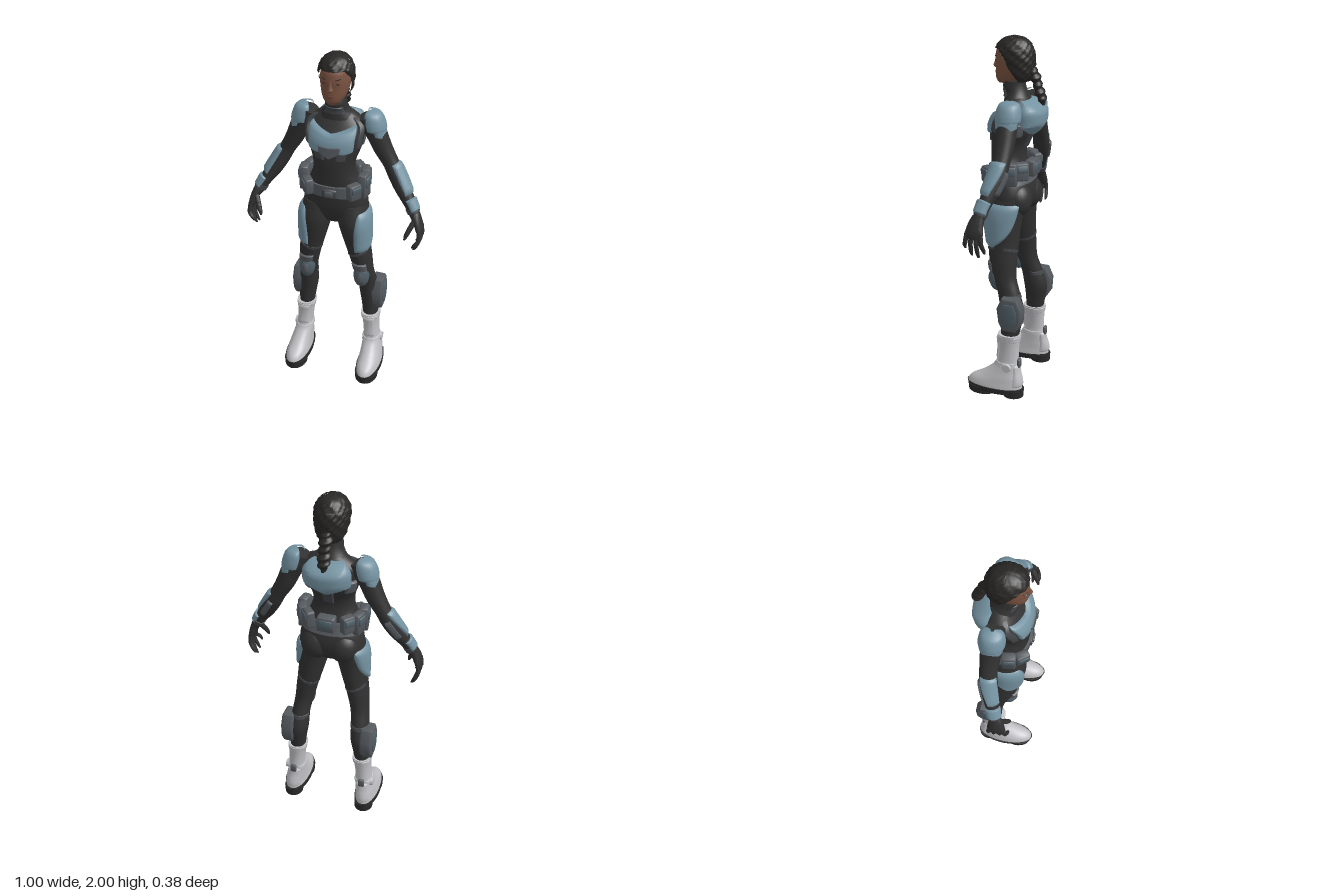
import * as THREE from 'three';
import { toCreasedNormals } from 'three/addons/utils/BufferGeometryUtils.js';
import { RoundedBoxGeometry } from 'three/addons/geometries/RoundedBoxGeometry.js';

const colours = {
  suit: 0x313131, armour: 0x7593a2, grey: 0x555a5f, slate: 0x4f5f68, boot: 0xc0c0c4,
  rubber: 0x2a2a2b, skin: 0x7b5342, lips: 0x633c33, hair: 0x282625, panel: 0x414448,
};

// Body surface from sections [y, x, z, sideRadius, frontRadius], listed downward.
// Angle 0 is the model's left, 90 the front. Upright surfaces have level rings.
function surface(secs, { n = 2, upright = true } = {}) {
  const last = secs.length - 1;
  const slope = (k, c) => {
    const a = secs[Math.max(k - 1, 0)], b = secs[Math.min(k + 1, last)];
    return (b[c] - a[c]) / (b[0] - a[0]);
  };
  const at = (y) => {
    let k = 0;
    while (k < last - 1 && y < secs[k + 1][0]) k++;
    const p = secs[k], q = secs[k + 1], h = q[0] - p[0];
    const t = Math.min(1, Math.max(0, (y - p[0]) / h)), t2 = t * t, t3 = t2 * t;
    return [1, 2, 3, 4].map((c) => (2 * t3 - 3 * t2 + 1) * p[c] + (t3 - 2 * t2 + t) * h * slope(k, c)
      + (3 * t2 - 2 * t3) * q[c] + (t3 - t2) * h * slope(k + 1, c));
  };
  const power = (v) => Math.sign(v) * Math.abs(v) ** (2 / n);
  return (y, deg, off = 0, scale = 1) => {
    const [x, z, ra, rb] = at(y), th = deg * Math.PI / 180;
    const down = new THREE.Vector3(0, -1, 0);
    if (!upright) {
      const a = at(y + 0.01), b = at(y - 0.01);
      down.set(b[0] - a[0], -0.02, b[1] - a[1]).normalize();
    }
    const front = new THREE.Vector3(0, 0, 1).addScaledVector(down, -down.z).normalize();
    const side = front.clone().cross(down);
    return new THREE.Vector3(x, y, z)
      .addScaledVector(side, scale * (Math.max(ra, 0.001) + off) * power(Math.cos(th)))
      .addScaledVector(front, scale * (Math.max(rb, 0.001) + off) * power(Math.sin(th)));
  };
}

function grid(rows, cols, point) {
  const pos = [], idx = [], w = cols + 1;
  for (let i = 0; i <= rows; i++) for (let j = 0; j <= cols; j++) pos.push(...point(i, j).toArray());
  for (let i = 0; i < rows; i++) for (let j = 0; j < cols; j++) {
    const a = i * w + j;
    idx.push(a, a + 1, a + w + 1, a, a + w + 1, a + w);
  }
  const g = new THREE.BufferGeometry();
  g.setAttribute('position', new THREE.Float32BufferAttribute(pos, 3));
  g.setIndex(idx);
  return g;
}

// Closed body between two heights, with end caps
function loft(s, top, bottom, rows = 36, cols = 32, bump = () => 0) {
  return grid(rows + 2, cols, (i, j) => {
    const t = Math.min(1, Math.max(0, (i - 1) / rows)), y = top + (bottom - top) * t, deg = 360 * j / cols;
    return s(y, deg, bump(y, deg), i === 0 || i === rows + 2 ? 0 : 1);
  });
}

// Raised plate lying on a surface; map(s, t) gives [height, angle]
function plate(s, map, off, bevel = 0.1, bump = () => 0, n = 18) {
  const ease = (i) => (1 - Math.cos(Math.PI * i / n)) / 2;
  return grid(n, n, (i, j) => {
    const u = ease(j), t = ease(i), [y, deg] = map(u, t);
    const d = Math.min(u, 1 - u, t, 1 - t) / bevel;
    return s(y, deg, -0.006 + (off + 0.006) * Math.sqrt(Math.min(1, d)) + (d > 0 ? bump(y, deg) : 0));
  });
}
const rect = (y0, y1, a0, a1) => (u, t) => [y0 + (y1 - y0) * t, a0 + (a1 - a0) * u];

export function createModel() {
  const root = new THREE.Group();
  root.name = 'armouredFigure';
  const mats = {};
  for (const [name, color] of Object.entries(colours)) {
    mats[name] = new THREE.MeshStandardMaterial({ color });
    mats[name].name = name;
  }
  const add = (name, geo, mat, both = false, crease = 0.7) => {
    const g = geo.index ? geo.toNonIndexed() : geo;
    g.deleteAttribute('uv');
    const put = (label, geom) => {
      geom.computeVertexNormals();
      const m = new THREE.Mesh(toCreasedNormals(geom, crease), mats[mat]);
      m.name = label;
      root.add(m);
    };
    if (!both) return put(name, g);
    const r = g.clone().scale(-1, 1, 1), p = r.attributes.position, v = new THREE.Vector3(), w = new THREE.Vector3();
    for (let i = 0; i < p.count; i += 3) {
      v.fromBufferAttribute(p, i + 1);
      w.fromBufferAttribute(p, i + 2);
      p.setXYZ(i + 1, w.x, w.y, w.z);
      p.setXYZ(i + 2, v.x, v.y, v.z);
    }
    put(name + 'Left', g);
    put(name + 'Right', r);
  };
  const ball = (x, y, z, a, b, c) => new THREE.SphereGeometry(1, 24, 16).scale(a, b, c).translate(x, y, z);
  const box = (w, h, d, r = 0.012) => new RoundedBoxGeometry(w, h, d, 2, r);

  // Torso and collar
  const torso = surface([[1.69, 0, -0.03, 0.06, 0.05], [1.66, 0, -0.035, 0.11, 0.065], [1.62, 0, -0.03, 0.15, 0.088],
    [1.56, 0, -0.01, 0.15, 0.108], [1.5, 0, 0, 0.142, 0.108], [1.42, 0, 0.02, 0.116, 0.093], [1.36, 0, 0.022, 0.115, 0.09],
    [1.28, 0, 0.01, 0.145, 0.1], [1.2, 0, -0.005, 0.172, 0.113], [1.14, 0, -0.01, 0.18, 0.112],
    [1.08, 0, -0.01, 0.16, 0.095], [1.04, 0, -0.005, 0.09, 0.065]], { n: 2.2 });
  add('torso', loft(torso, 1.69, 1.04, 60, 40), 'suit');
  add('hipCurve', ball(0.078, 1.13, -0.06, 0.085, 0.095, 0.076), 'suit', true);
  const neck = surface([[1.78, 0, -0.015, 0.05, 0.052], [1.74, 0, -0.008, 0.056, 0.062], [1.7, 0, -0.02, 0.066, 0.062], [1.65, 0, -0.03, 0.1, 0.075]]);
  add('collar', loft(neck, 1.765, 1.65, 20), 'suit');
  add('collarPanel', plate(neck, (u, t) => [1.725 - 0.045 * t, 35 + 110 * u], 0.006), 'panel');

  // Chest and back armour
  const dip = (u) => 1 - Math.abs(2 * u - 1);
  add('chestPlate', plate(torso, (u, t) => {
    const top = 1.635 - 0.045 * dip(u), low = 1.505 - 0.02 * Math.sin(Math.PI * 2 * Math.abs(u - 0.5));
    return [top + (low - top) * t, 38 + 104 * u];
  }, 0.021, 0.08), 'armour');
  add('sternumPanel', plate(torso, (u, t) => [1.535 - (0.03 + 0.045 * dip(u)) * t, 68 + 44 * u], 0.026), 'grey');
  add('ribPanel', plate(torso, rect(1.495, 1.445, 52, 78), 0.008), 'panel', true);
  add('shoulderStrap', plate(torso, rect(1.66, 1.5, 18, 36), 0.016), 'panel', true);
  add('backPlate', plate(torso, (u, t) => [1.672 - (0.13 + 0.07 * dip(u)) * t, 218 + 104 * u], 0.062, 0.32), 'armour');
  add('spinePanel', plate(torso, rect(1.54, 1.4, 258, 282), 0.014), 'panel');
  add('backSidePanel', plate(torso, rect(1.56, 1.48, -52, -22), 0.016), 'grey', true);

  // Belt, buckle and pouches
  add('belt', loft((y, d, o, s) => torso(y, d, 0.012, s), 1.29, 1.225, 4, 48), 'grey');
  add('buckle', box(0.085, 0.055, 0.025).translate(0, 1.25, 0.117), 'panel');
  add('buckleFace', box(0.045, 0.035, 0.012, 0.004).translate(0, 1.25, 0.13), 'grey');
  const pouches = [[42, 1.27, 0.09], [8, 1.285, 0.14], [-24, 1.29, 0.125], [-52, 1.3, 0.1]];
  pouches.forEach(([deg, y, h], i) => {
    const p = torso(1.27, deg, 0.02), turn = Math.atan2(p.x, p.z);
    add('pouch' + (i + 1), box(0.075, h, 0.05).rotateY(turn).translate(p.x, y, p.z), 'grey', true);
    add('pouchFlap' + (i + 1), box(0.06, h * 0.4, 0.016, 0.006).translate(0, h * 0.18, 0.024).rotateY(turn).translate(p.x, y, p.z), 'slate', true);
  });
  add('rearPouch', box(0.1, 0.09, 0.06).translate(0, 1.3, -0.113), 'grey');
  add('rearPouchFlap', box(0.075, 0.05, 0.016, 0.006).translate(0, 1.305, -0.14), 'slate');

  // Head and face
  const head = surface([[1.98, 0, -0.01, 0.03, 0.035], [1.94, 0, -0.008, 0.068, 0.088], [1.885, 0, -0.003, 0.077, 0.098],
    [1.84, 0, 0, 0.075, 0.093], [1.8, 0, 0.015, 0.065, 0.079], [1.77, 0, 0.035, 0.048, 0.056], [1.75, 0, 0.05, 0.024, 0.03]], { n: 2.15 });
  add('head', loft(head, 1.98, 1.75), 'skin');
  const nose = surface([[1.89, 0, 0.088, 0.008, 0.007], [1.855, 0, 0.092, 0.01, 0.013], [1.836, 0, 0.092, 0.016, 0.019], [1.826, 0, 0.088, 0.013, 0.01]]);
  add('nose', loft(nose, 1.89, 1.826, 12, 14), 'skin');
  add('lips', plate(head, (u, t) => [1.809 - 0.016 * t, 73 + 34 * u], 0.004, 0.4), 'lips');
  add('eye', plate(head, rect(1.876, 1.866, 54, 71), 0.002, 0.3), 'hair', true);
  add('eyebrow', plate(head, (u, t) => [1.9 - 0.006 * t - 0.006 * u, 48 + 26 * u], 0.003, 0.3), 'hair', true);

  // Braided hair and ponytail
  const wave = (y, d) => 0.0035 * Math.sin(d * 0.21 + 40 * y) * Math.sin(150 * y + d * 0.05);
  const hair = surface([[2, 0, -0.01, 0.01, 0.012], [1.986, 0, -0.01, 0.05, 0.06], [1.95, 0, -0.008, 0.082, 0.095], [1.9, 0, -0.01, 0.092, 0.108],
    [1.85, 0, -0.014, 0.089, 0.105], [1.8, 0, -0.022, 0.077, 0.09], [1.76, 0, -0.03, 0.056, 0.062]]);
  add('hairTop', loft(hair, 2, 1.934, 18, 48, wave), 'hair', false, 0.5);
  add('hairSides', plate(hair, (u, t) => {
    const open = 42 + 30 * Math.min(1, t * 3) + 35 * t * t;
    return [1.945 - 0.18 * t, 90 + open + (360 - 2 * open) * u];
  }, 0.002, 0.05, wave, 40), 'hair', false, 0.5);
  const tail = surface([[1.84, 0, -0.105, 0.02, 0.02], [1.8, 0, -0.12, 0.034, 0.03], [1.75, 0, -0.138, 0.028, 0.024],
    [1.7, 0, -0.155, 0.033, 0.027], [1.67, 0, -0.165, 0.025, 0.02], [1.645, 0, -0.168, 0.008, 0.008]]);
  add('ponytail', loft(tail, 1.84, 1.645, 40, 20, (y, d) => 0.004 * Math.sin(170 * y + d * Math.PI / 180)), 'hair', false, 0.5);

  // Arms with layered armour
  const arm = surface([[1.66, 0.15, -0.04, 0.045, 0.05], [1.62, 0.18, -0.045, 0.06, 0.058], [1.56, 0.21, -0.048, 0.055, 0.056],
    [1.48, 0.245, -0.052, 0.05, 0.052], [1.4, 0.29, -0.052, 0.043, 0.046], [1.34, 0.323, -0.045, 0.045, 0.048],
    [1.27, 0.365, -0.028, 0.043, 0.044], [1.19, 0.418, -0.004, 0.033, 0.034], [1.13, 0.452, 0.01, 0.029, 0.032]], { upright: false });
  add('arm', loft(arm, 1.66, 1.13, 44, 28), 'suit', true);
  add('forearmPlate', plate(arm, (u, t) => [1.395 - 0.165 * t, -55 + 35 * t + (125 - 30 * t) * u], 0.012), 'armour', true);
  add('forearmRearPanel', plate(arm, rect(1.36, 1.25, -100, -58), 0.009), 'grey', true);
  add('wristCuff', plate(arm, rect(1.215, 1.155, -75, 95), 0.011), 'armour', true);
  add('gloveBand', loft((y, d, o, s) => arm(y, d, 0.005, s), 1.175, 1.15, 4, 24), 'panel', true);
  const shoulder = surface([[1.695, 0.172, -0.05, 0.012, 0.015], [1.68, 0.178, -0.05, 0.043, 0.045], [1.64, 0.187, -0.05, 0.058, 0.06],
    [1.59, 0.2, -0.05, 0.056, 0.062], [1.54, 0.215, -0.05, 0.048, 0.056]]);
  add('shoulderPad', plate(shoulder, rect(1.695, 1.585, -130, 130), 0.007, 0.08), 'armour', true);
  add('shoulderLowerPad', plate(shoulder, (u, t) => [1.6 - (0.035 + 0.03 * dip(u)) * t, -85 + 170 * u], 0.004), 'armour', true);

  // Gloved hands
  const limb = (secs) => surface(secs, { upright: false });
  add('palm', loft(limb([[1.15, 0.443, 0.008, 0.03, 0.032], [1.11, 0.465, 0.018, 0.024, 0.042], [1.065, 0.481, 0.022, 0.02, 0.05], [1.035, 0.487, 0.022, 0.013, 0.045]]), 1.15, 1.035, 16, 24), 'suit', true);
  [[0.06, 0.082, 0.97], [0.035, 0.045, 0.935], [0.01, 0.008, 0.925], [-0.013, -0.025, 0.95]].forEach(([z0, z1, tip], i) => {
    const f = limb([[1.07, 0.483, z0, 0.012, 0.013], [1.01, 0.487, (z0 + z1) / 2, 0.0115, 0.012],
      [tip + 0.02, 0.468, z1, 0.0095, 0.01], [tip, 0.456, z1, 0.005, 0.005]]);
    add('finger' + (i + 1), loft(f, 1.07, tip, 12, 12), 'suit', true);
  });
  add('thumb', loft(limb([[1.12, 0.455, 0.035, 0.014, 0.016], [1.07, 0.432, 0.065, 0.014, 0.015], [1.035, 0.418, 0.08, 0.011, 0.011], [1.015, 0.412, 0.085, 0.005, 0.005]]), 1.12, 1.015, 12, 12), 'suit', true);

  // Legs, thigh guards, knee pads and calf pods
  const leg = surface([[1.16, 0.092, -0.01, 0.085, 0.105], [1.06, 0.107, 0.008, 0.09, 0.106], [1, 0.115, 0.01, 0.084, 0.1],
    [0.9, 0.13, 0.004, 0.071, 0.088], [0.8, 0.15, -0.002, 0.062, 0.079], [0.7, 0.166, -0.015, 0.054, 0.068], [0.62, 0.178, -0.045, 0.051, 0.063],
    [0.52, 0.187, -0.068, 0.056, 0.068], [0.44, 0.194, -0.067, 0.05, 0.06], [0.34, 0.2, -0.058, 0.042, 0.048]]);
  add('leg', loft(leg, 1.16, 0.34, 60, 32), 'suit', true);
  add('thighGuard', plate(leg, (u, t) => {
    const a = -62 + 95 * t ** 3, b = 48 + 42 * Math.sqrt(t);
    return [1.125 - 0.255 * t, a + (b - a) * u];
  }, 0.014), 'armour', true);
  add('thighStrap', plate(leg, (u, t) => [0.86 - 0.018 * t + 0.025 * Math.cos(u * Math.PI * 2), 360 * u], 0.003), 'panel', true);
  add('kneePad', ball(0.163, 0.69, 0.03, 0.046, 0.078, 0.044), 'slate', true);
  add('kneeUpperPlate', plate(leg, rect(0.785, 0.735, 45, 130), 0.012), 'grey', true);
  add('kneeCap', ball(0.163, 0.685, 0.05, 0.03, 0.05, 0.03), 'grey', true);
  const podShape = new THREE.Shape([[-0.03, -0.085], [0.03, -0.085], [0.055, -0.045], [0.06, 0.03], [0.035, 0.085], [-0.035, 0.085], [-0.06, 0.03], [-0.05, -0.05]]
    .map(([x, y]) => new THREE.Vector2(x, y)));
  const pod = (d, b) => new THREE.ExtrudeGeometry(podShape, { depth: d, bevelEnabled: true, bevelSize: b, bevelThickness: b, bevelSegments: 3 });
  add('calfPod', pod(0.045, 0.013).rotateY(Math.PI / 2).translate(0.215, 0.515, -0.08), 'grey', true);
  add('calfPodPlate', pod(0.006, 0.003).scale(0.72, 0.72, 1).rotateY(Math.PI / 2).translate(0.269, 0.52, -0.08), 'slate', true);
  add('calfBand', plate(leg, rect(0.615, 0.59, 180, 360), 0.004), 'panel', true);

  // Boots with straps and treaded soles
  const boot = surface([[0.375, 0.2, -0.058, 0.056, 0.066], [0.3, 0.205, -0.058, 0.048, 0.058], [0.23, 0.21, -0.055, 0.046, 0.06],
    [0.19, 0.212, -0.05, 0.05, 0.068], [0.15, 0.216, -0.032, 0.054, 0.092], [0.115, 0.22, -0.012, 0.059, 0.122],
    [0.085, 0.222, 0.012, 0.063, 0.152], [0.055, 0.223, 0.022, 0.067, 0.164], [0.03, 0.223, 0.022, 0.066, 0.162]], { n: 2.15 });
  add('boot', loft(boot, 0.375, 0.035, 50, 32), 'boot', true);
  add('bootCuff', plate(boot, rect(0.37, 0.335, 0, 360), 0.004), 'boot', true);
  add('bootShinPlate', plate(boot, (u, t) => [0.365 - 0.145 * t, 50 + 80 * u], 0.009), 'boot', true);
  add('bootStrap', plate(boot, rect(0.21, 0.18, -80, 260), 0.005), 'boot', true);
  add('ankleDisc', new THREE.CylinderGeometry(0.024, 0.028, 0.03, 16).rotateZ(-Math.PI / 2).translate(0.26, 0.185, -0.065), 'boot', true);
  add('heelCup', plate(boot, rect(0.2, 0.065, 225, 315), 0.008), 'boot', true);
  add('heelTab', box(0.035, 0.05, 0.018, 0.006).translate(0.213, 0.205, -0.122), 'grey', true);
  const disc = (y0, y1, z, rx, rz) => new THREE.CylinderGeometry(1, 0.96, y1 - y0, 32).scale(rx, 1, rz).translate(0.223, (y0 + y1) / 2, z);
  add('sole', disc(0.022, 0.052, 0.02, 0.074, 0.172), 'rubber', true);
  add('heelTread', disc(0, 0.045, -0.09, 0.056, 0.062), 'rubber', true);
  add('toeTread', disc(0, 0.04, 0.095, 0.068, 0.09), 'rubber', true);
  return root;
}
